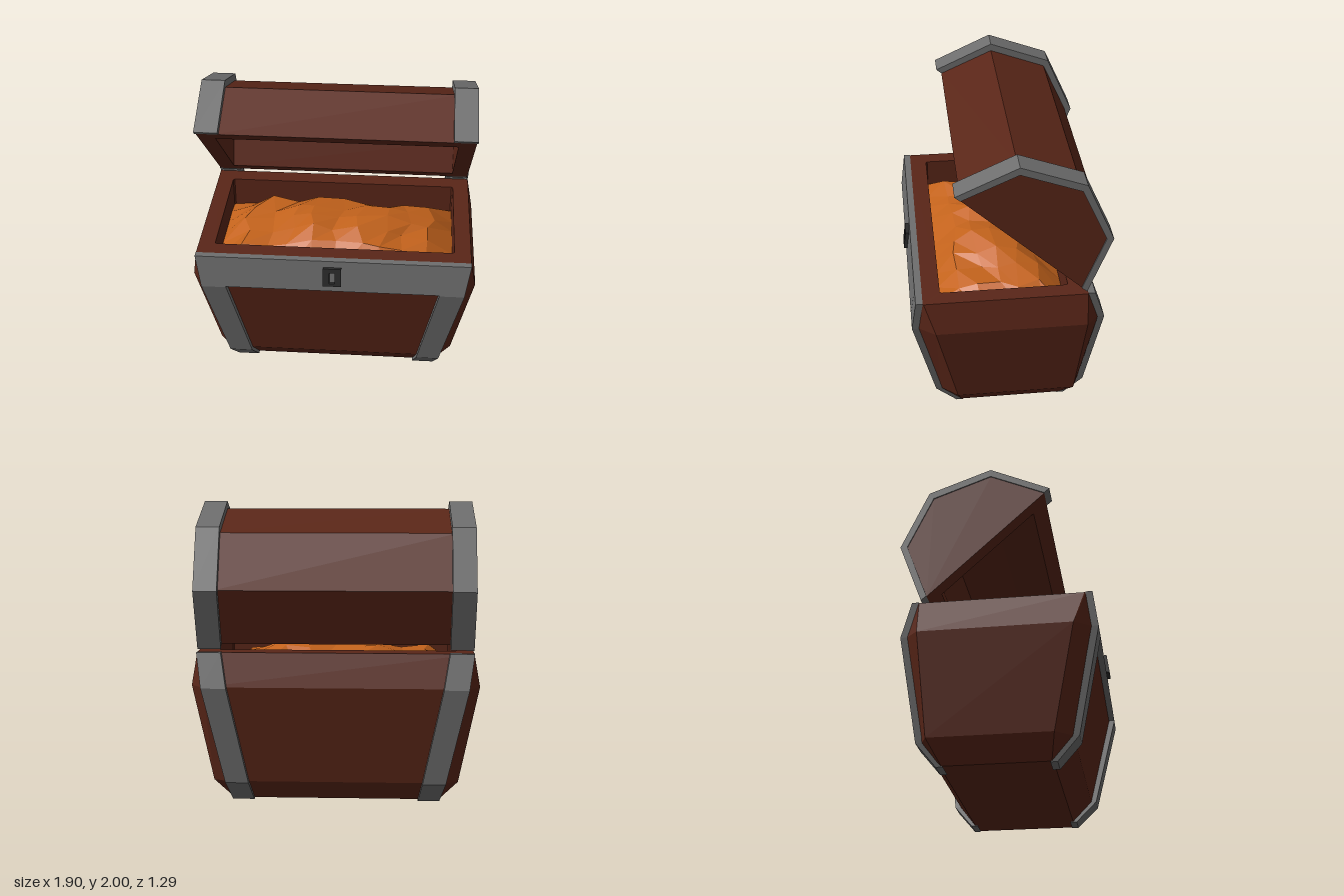
import * as THREE from 'three';

const paint = (color) => new THREE.MeshStandardMaterial({ color, flatShading: true });
const wood = paint(0x5a2618);
const iron = paint(0x6e6e6e);
const dark = paint(0x2c2c2c);
const gold = paint(0xc4631c);

// Skin a stack of rings [[x, y, z], ...], each counter-clockwise from above, capped at both ends.
function loft(rings) {
  const pos = [];
  const tri = (a, b, c) => pos.push(...a, ...b, ...c);
  const n = rings[0].length;
  for (let i = 0; i < rings.length - 1; i++) {
    for (let j = 0; j < n; j++) {
      const k = (j + 1) % n;
      tri(rings[i][j], rings[i][k], rings[i + 1][k]);
      tri(rings[i][j], rings[i + 1][k], rings[i + 1][j]);
    }
  }
  const first = rings[0], last = rings[rings.length - 1];
  for (let j = 1; j < n - 1; j++) {
    tri(first[0], first[j + 1], first[j]);
    tri(last[0], last[j], last[j + 1]);
  }
  const geo = new THREE.BufferGeometry();
  geo.setAttribute('position', new THREE.Float32BufferAttribute(pos, 3));
  geo.computeVertexNormals();
  return geo;
}

// Extrude a [z, y] side profile along x.
function extrudeX(profile, x0, x1) {
  const shape = new THREE.Shape(profile.map(([z, y]) => new THREE.Vector2(-z, y)));
  const geo = new THREE.ExtrudeGeometry(shape, { depth: x1 - x0, bevelEnabled: false });
  return geo.rotateY(Math.PI / 2).translate(x0, 0, 0);
}

function add(parent, name, geo, mat) {
  const mesh = new THREE.Mesh(geo, mat);
  mesh.name = name;
  parent.add(mesh);
  return mesh;
}

// Eight-sided ring: front and back corners at xc, end panels at xs
const ring = (y, xc, xs, zf, zsf, zsb, zb) => [
  [-xc, y, zf], [xc, y, zf], [xs, y, zsf], [xs, y, zsb],
  [xc, y, zb], [-xc, y, zb], [-xs, y, zsb], [-xs, y, zsf],
];
// Rectangular ring from x0 to x1 and z0 (back) to z1 (front)
const rect = (y, x0, x1, z0, z1) => [[x0, y, z1], [x1, y, z1], [x1, y, z0], [x0, y, z0]];

function buildBody() {
  const body = new THREE.Group();
  body.name = 'body';
  // Outer walls, rim, then down into the hollow
  add(body, 'box', loft([
    ring(0.005, 0.69, 0.70, 0.32, 0.31, -0.37, -0.38),
    ring(0.15, 0.73, 0.82, 0.45, 0.34, -0.45, -0.49),
    ring(0.81, 0.87, 0.95, 0.59, 0.48, -0.50, -0.58),
    ring(1.03, 0.905, 0.91, 0.56, 0.55, -0.50, -0.505),
    ring(1.03, 0.79, 0.80, 0.44, 0.43, -0.375, -0.385),
    ring(0.74, 0.79, 0.80, 0.44, 0.43, -0.375, -0.385),
  ]), wood);

  // Corner straps: y, inner x, outer x, front z, back z
  const levels = [
    [0, 0.555, 0.70, 0.345, -0.405],
    [0.15, 0.58, 0.735, 0.485, -0.53],
    [0.81, 0.71, 0.875, 0.63, -0.62],
    [1.035, 0.75, 0.91, 0.60, -0.545],
  ];
  const t = 0.045;
  for (const s of [-1, 1]) {
    const span = (a, b) => (s > 0 ? [a, b] : [-b, -a]);
    add(body, 'frontStrap', loft(levels.map(([y, a, b, f]) => rect(y, ...span(a, b), f - t, f))), iron);
    add(body, 'backStrap', loft(levels.map(([y, a, b, , k]) => rect(y, ...span(a, b), k, k + t))), iron);
  }
  // Band across the front between the straps
  add(body, 'frontBand', loft([
    rect(0.815, -0.72, 0.72, 0.585, 0.63),
    rect(1.035, -0.76, 0.76, 0.555, 0.60),
  ]), iron);

  // Lock plate with a keyhole, leaning with the band
  const lock = new THREE.Group();
  lock.name = 'lock';
  const plate = new THREE.Shape([[-0.06, -0.065], [0.06, -0.065], [0.06, 0.065], [-0.06, 0.065]]
    .map(([x, y]) => new THREE.Vector2(x, y)));
  plate.holes.push(new THREE.Path([[-0.018, -0.045], [-0.018, 0.035], [0.018, 0.035], [0.018, -0.045]]
    .map(([x, y]) => new THREE.Vector2(x, y))));
  add(lock, 'lockPlate', new THREE.ExtrudeGeometry(plate, { depth: 0.035, bevelEnabled: false }), dark);
  add(lock, 'keyhole', new THREE.BoxGeometry(0.04, 0.08, 0.02), dark);
  lock.position.set(0, 0.925, 0.603);
  lock.rotation.x = -0.13;
  body.add(lock);
  return body;
}

function buildLid() {
  const lid = new THREE.Group();
  lid.name = 'lid';
  const strap = [[0.34, 1.82], [-0.05, 2.0], [-0.46, 1.85], [-0.64, 1.45], [-0.49, 1.05]];
  const shell = [[0.305, 1.79], [-0.05, 1.95], [-0.43, 1.81], [-0.595, 1.45], [-0.455, 1.08]];
  const hollow = [[-0.38, 1.15], [-0.45, 1.37], [-0.36, 1.6], [-0.05, 1.74], [0.22, 1.711]];

  add(lid, 'lidShell', extrudeX([...shell, ...hollow], -0.79, 0.79), wood);
  const band = [...strap, ...[...shell].reverse()];
  for (const s of [-1, 1]) {
    const span = (a, b) => (s > 0 ? [a, b] : [-b, -a]);
    add(lid, 'lidEnd', extrudeX(shell, ...span(0.79, 0.902)), wood);
    add(lid, 'lidStrap', extrudeX(band, ...span(0.755, 0.91)), iron);
  }
  return lid;
}

// Heap of treasure: a faceted dome with seeded bumps
function buildHeap() {
  const geo = new THREE.PlaneGeometry(1.6, 0.825, 10, 6).rotateX(-Math.PI / 2);
  const p = geo.attributes.position;
  let seed = 11;
  const rnd = () => (seed = (seed * 16807) % 2147483647) / 2147483647 - 0.5;
  for (let i = 0; i < p.count; i++) {
    const x = p.getX(i), z = p.getZ(i);
    const u = x / 0.8, v = z / 0.4125;
    const edge = Math.max(Math.abs(u), Math.abs(v)) > 0.99;
    const dome = Math.max(0, 1 - u * u) * Math.max(0, 1 - v * v);
    const bump = edge ? 0.03 * rnd() : 0.07 * rnd();
    p.setXYZ(i, x + (edge ? 0 : 0.08 * rnd()), Math.min(1.04, 0.83 + 0.2 * Math.sqrt(dome) + bump),
      z + 0.0275 + (edge ? 0 : 0.06 * rnd()));
  }
  geo.computeVertexNormals();
  return geo;
}

export function createModel() {
  const chest = new THREE.Group();
  chest.name = 'treasureChest';
  chest.add(buildBody(), buildLid());
  add(chest, 'goldHeap', buildHeap(), gold);
  return chest;
}
